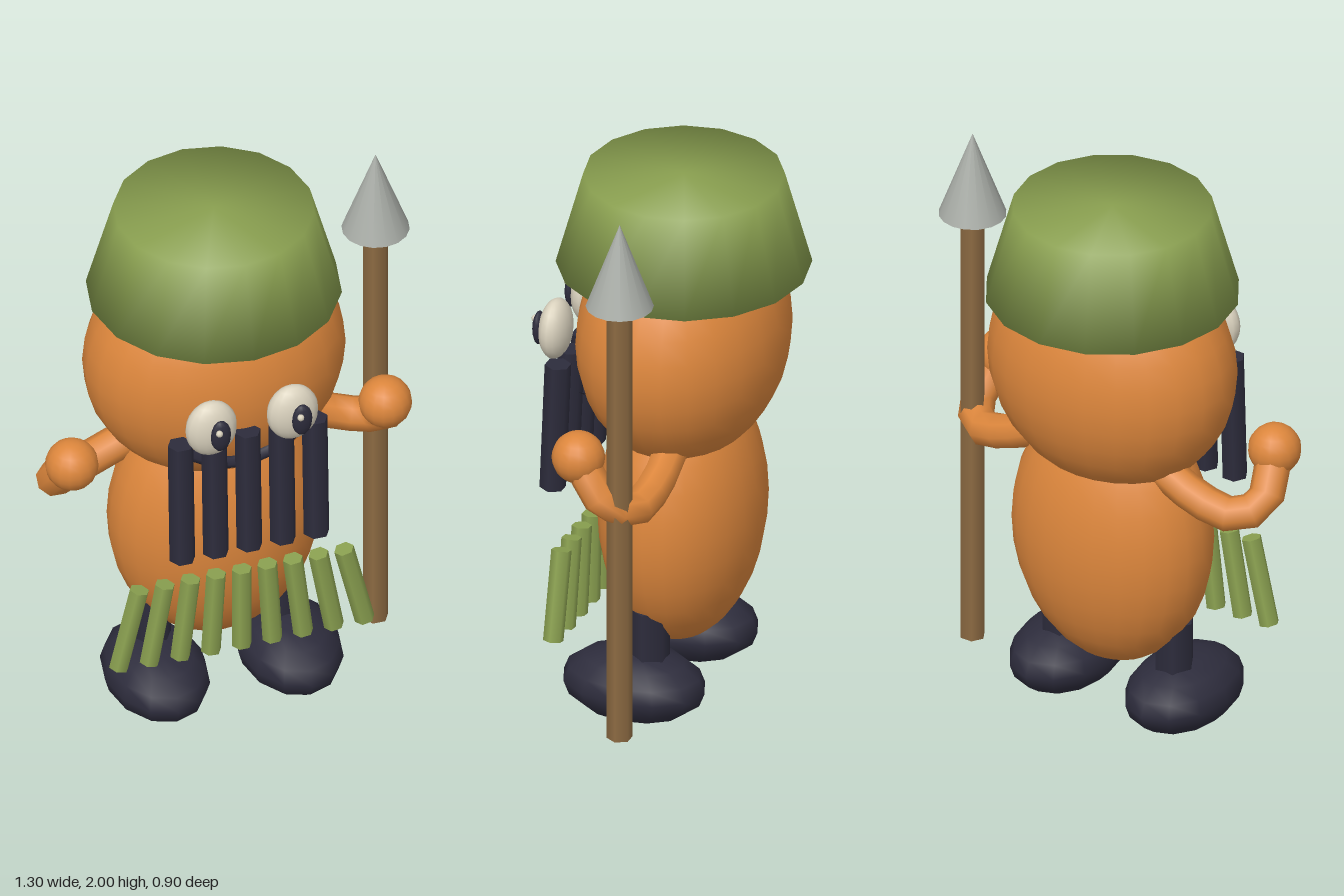
import * as THREE from 'three';
import { mergeVertices } from 'three/addons/utils/BufferGeometryUtils.js';

const paint = (name, color) => {
  const m = new THREE.MeshStandardMaterial({ color });
  m.name = name;
  return m;
};

export function createModel() {
  const orange = paint('orange skin', 0xdc863c);
  const green = paint('leaf green', 0x8aa050);
  const dark = paint('dark navy', 0x2d2c3c);
  const cream = paint('eye cream', 0xdad2be);
  const wood = paint('wood brown', 0x8c6a42);
  const steel = paint('steel grey', 0xa8aca6);

  const model = new THREE.Group();
  model.name = 'spearCarrier';
  const figure = new THREE.Group();
  figure.name = 'figure';
  figure.position.set(-0.02, 0, 0);
  model.add(figure);

  const add = (name, geometry, material, x = 0, y = 0, z = 0, parent = figure) => {
    const mesh = new THREE.Mesh(geometry, material);
    mesh.name = name;
    mesh.position.set(x, y, z);
    parent.add(mesh);
    return mesh;
  };
  const ellipsoid = (rx, ry, rz, w, h) => new THREE.SphereGeometry(1, w, h).scale(rx, ry, rz);
  // Six-sided rod with corners on the left and right
  const rod = (r, h) => new THREE.CylinderGeometry(r, r, h, 6).rotateY(Math.PI / 6);
  // Shares normals across sides and caps for a soft look
  const soften = (g) => {
    g.deleteAttribute('normal');
    g.deleteAttribute('uv');
    const merged = mergeVertices(g, 1e-4);
    merged.computeVertexNormals();
    return merged;
  };

  // Body and head
  add('body', ellipsoid(0.36, 0.48, 0.265, 24, 16), orange, 0, 0.7, -0.027);
  add('head', ellipsoid(0.44, 0.43, 0.34, 24, 16), orange, 0, 1.33, -0.03);

  // Hat, tapering upward
  add('hat', soften(new THREE.CylinderGeometry(0.33, 0.42, 0.325, 16)), green, 0, 1.753, -0.03);

  // Limbs on both sides
  for (const [side, s] of [['left', 1], ['right', -1]]) {
    const path = new THREE.CatmullRomCurve3([
      [0.2, 1.04, -0.08], [0.36, 0.965, -0.085], [0.5, 0.925, -0.06],
      [0.57, 0.96, 0.01], [0.54, 1.1, 0.123],
    ].map(([x, y, z]) => new THREE.Vector3(s * x, y, z)));
    add(side + 'Arm', new THREE.TubeGeometry(path, 8, 0.06, 8), orange);
    add(side + 'Hand', new THREE.SphereGeometry(0.088, 16, 12), orange, s * 0.54, 1.1, 0.123);
    add(side + 'Leg', rod(0.068, 0.28), dark, s * 0.225, 0.27, 0);
    add(side + 'Foot', ellipsoid(0.172, 0.124, 0.248, 12, 8), dark, s * 0.23, 0.128, 0.052);

    // Both pupils glance toward the spear
    const eye = new THREE.Group();
    eye.name = side + 'Eye';
    eye.position.set(s * 0.14, 1.33, 0.365);
    figure.add(eye);
    add('eyeball', ellipsoid(0.088, 0.105, 0.052, 16, 12), cream, 0, 0, 0, eye);
    add('pupil', ellipsoid(0.035, 0.06, 0.02, 12, 8), dark, 0.016, 0, 0.053, eye);
    add('glint', new THREE.SphereGeometry(0.012, 8, 6), cream, 0.005, 0.024, 0.072, eye);
  }

  // Smile
  const smile = new THREE.QuadraticBezierCurve3(
    new THREE.Vector3(-0.2, 1.165, 0.245),
    new THREE.Vector3(0, 1.01, 0.275),
    new THREE.Vector3(0.2, 1.165, 0.245));
  add('mouth', new THREE.TubeGeometry(smile, 10, 0.022, 6), dark);

  // Hanging beard bars, leaning slightly forward at the bottom
  for (let i = -2; i <= 2; i++) {
    const bar = add('beardBar', rod(0.044, 0.457), dark, i * 0.1155, 1.022, 0.33);
    bar.rotation.x = -0.04;
  }

  // Skirt strips fanning outward
  for (let i = -4; i <= 4; i++) {
    const strip = add('skirtStrip', rod(0.034, 0.31), green, i * 0.097, 0.484, 0.259);
    strip.rotation.z = i * 0.058;
  }

  // Spear
  const spear = new THREE.Group();
  spear.name = 'spear';
  spear.position.set(0.537, 0, -0.03);
  model.add(spear);
  add('shaft', rod(0.043, 1.6), wood, 0, 0.9, 0, spear);
  add('spearTip', new THREE.ConeGeometry(0.112, 0.3, 16), steel, 0, 1.85, 0, spear);

  return model;
}
